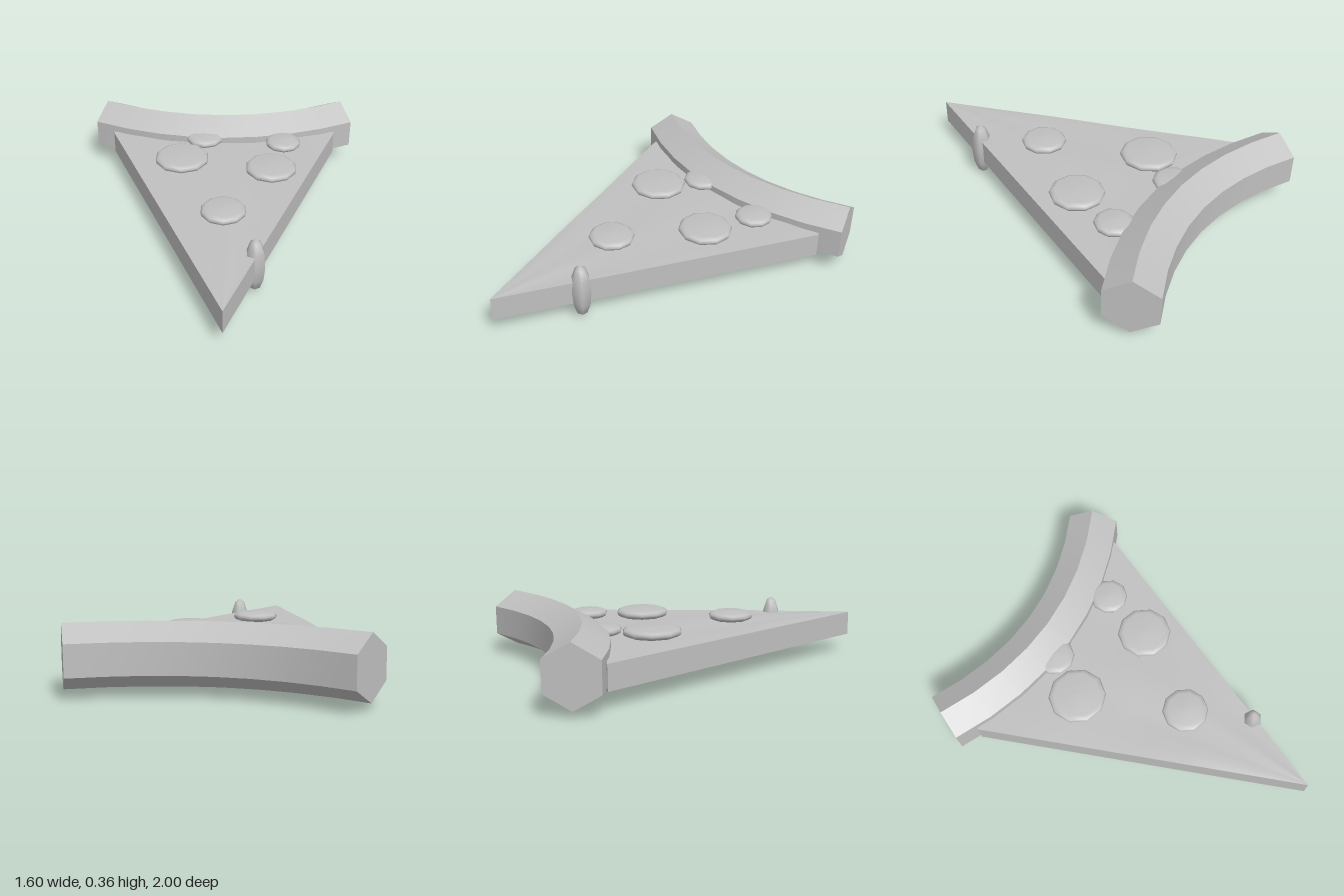
import * as THREE from 'three';
import { toCreasedNormals } from 'three/addons/utils/BufferGeometryUtils.js';

const grey = new THREE.MeshStandardMaterial({ color: 0xc0c0c0 });
grey.name = 'plain grey';
const greySheet = grey.clone();
greySheet.side = THREE.DoubleSide;

function addMesh(group, name, geometry, material = grey) {
  const mesh = new THREE.Mesh(geometry, material);
  mesh.name = name;
  group.add(mesh);
  return mesh;
}

// Hexagonal bar swept along a shallow arc, capped at both ends
function crustGeometry() {
  const segments = 8, sides = 6, positions = [], index = [];
  for (let i = 0; i <= segments; i++) {
    const t = (i / segments) * 2 - 1;
    const turn = t * 0.435;
    const cx = 0.74 * t, cz = -0.68 - 0.19 * t * t;
    for (let j = 0; j < sides; j++) {
      const a = (j / sides) * Math.PI * 2;
      const out = Math.sin(a) * 0.163 * 0.99;
      positions.push(cx + out * Math.sin(turn), 0.202 + Math.cos(a) * 0.163, cz + out * Math.cos(turn));
    }
  }
  for (let i = 0; i < segments; i++) {
    for (let j = 0; j < sides; j++) {
      const a = i * sides + j, b = i * sides + (j + 1) % sides;
      index.push(a, b, a + sides, b, b + sides, a + sides);
    }
  }
  const last = segments * sides;
  for (let j = 1; j < sides - 1; j++) {
    index.push(0, j + 1, j, last, last + j, last + j + 1);
  }
  const geometry = new THREE.BufferGeometry();
  geometry.setAttribute('position', new THREE.Float32BufferAttribute(positions, 3));
  geometry.setIndex(index);
  return toCreasedNormals(geometry, 0.6);
}

// Wedge-shaped slab of dough
function doughGeometry() {
  const shape = new THREE.Shape();
  shape.moveTo(0, -1);
  shape.lineTo(0.69, 0.69);
  shape.lineTo(-0.69, 0.69);
  shape.closePath();
  const geometry = new THREE.ExtrudeGeometry(shape, { depth: 0.135, bevelEnabled: false });
  return geometry.rotateX(-Math.PI / 2).translate(0, 0.1, 0);
}

// Thin, gently uneven sheet over the dough
function cheeseGeometry() {
  const geometry = new THREE.PlaneGeometry(2, 1, 8, 8);
  const p = geometry.attributes.position;
  for (let i = 0; i < p.count; i++) {
    const u = p.getX(i), v = p.getY(i) + 0.5;
    const bump = 0.5 + 0.5 * Math.sin(u * 5 + v * 7) * Math.cos(v * 5 - u * 2);
    const rise = Math.min(1, v * 3) * (1 - 0.6 * u * u);
    p.setXYZ(i, u * 0.69 * v, 0.237 + 0.02 * bump * rise, 1 - 1.69 * v);
  }
  geometry.computeVertexNormals();
  return geometry;
}

export function createModel() {
  const model = new THREE.Group();
  model.name = 'pizzaSlice';

  addMesh(model, 'crust', crustGeometry());
  addMesh(model, 'dough', doughGeometry());
  addMesh(model, 'cheese', cheeseGeometry(), greySheet);

  // Round topping discs: x, z, radius
  const discs = [
    [-0.245, -0.325, 0.16], [0.275, -0.215, 0.15], [0, 0.225, 0.127],
    [0.36, -0.51, 0.106], [-0.115, -0.565, 0.112],
  ];
  for (const [x, z, r] of discs) {
    const profile = [[0, 0.245], [r - 0.025, 0.248], [r - 0.006, 0.258], [r, 0.272],
      [r - 0.008, 0.284], [r - 0.03, 0.294], [0, 0.298]].map(([a, b]) => new THREE.Vector2(a, b));
    addMesh(model, 'toppingDisc', new THREE.LatheGeometry(profile, 10)).position.set(x, 0, z);
  }

  // Melted drip hanging over the side
  const drip = addMesh(model, 'cheeseDrip', new THREE.SphereGeometry(1, 6, 6).rotateY(Math.PI / 2));
  drip.scale.set(0.058, 0.163, 0.058);
  drip.position.set(0.165, 0.167, 0.56);

  return model;
}
